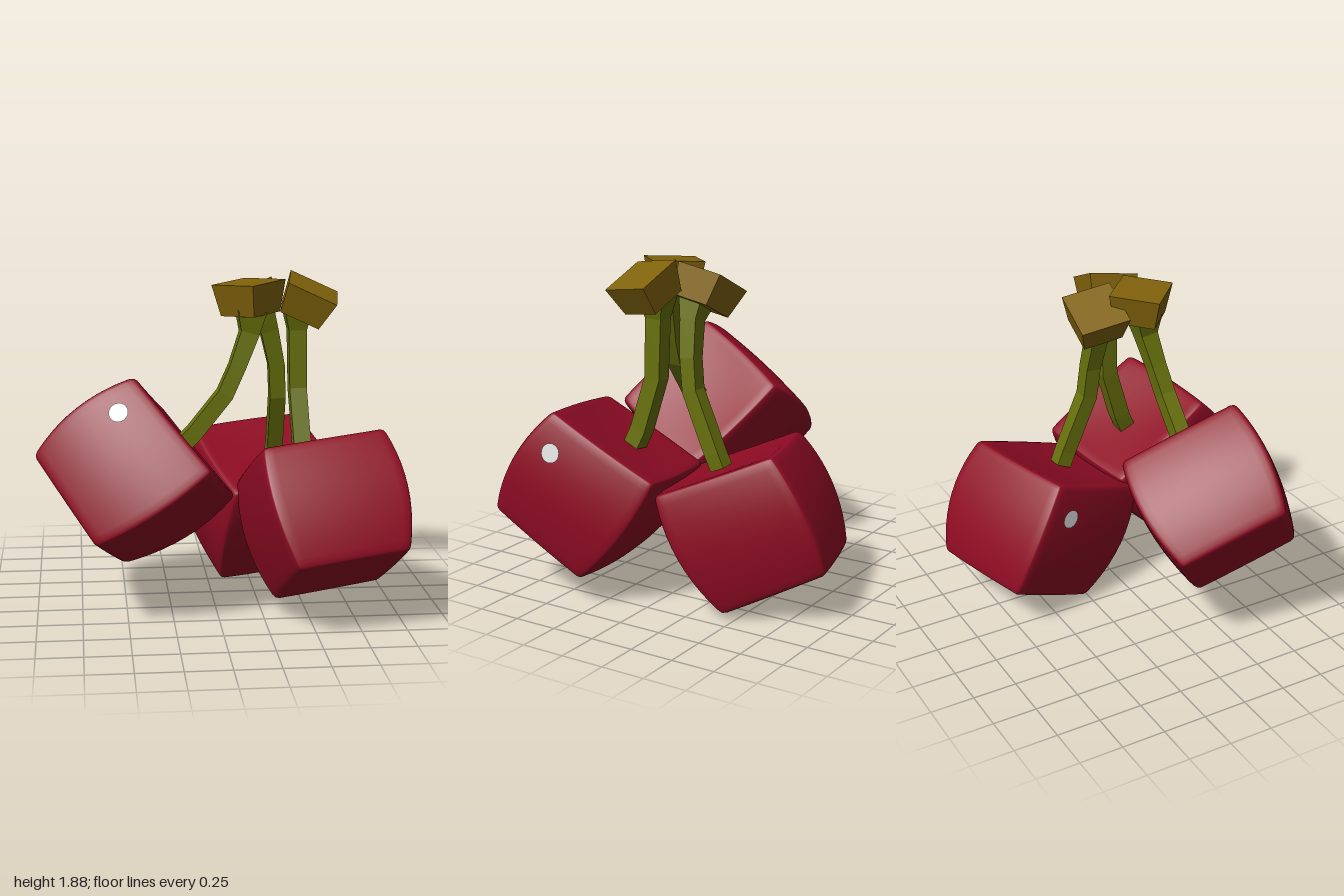
import * as THREE from 'three';
import { mergeVertices } from 'three/addons/utils/BufferGeometryUtils.js';

const mat = (name, color) => {
  const m = new THREE.MeshStandardMaterial({ color });
  m.name = name;
  return m;
};
const V = (a) => new THREE.Vector3(...a);

// Orthonormal basis from an exact "up" and an approximate "face" direction
function orient(object, up, face, position) {
  const y = V(up).normalize();
  const x = y.clone().cross(V(face)).normalize();
  const z = x.clone().cross(y);
  object.quaternion.setFromRotationMatrix(new THREE.Matrix4().makeBasis(x, y, z));
  object.position.set(...position);
  return object;
}

function flat(geometry) {
  const g = geometry.index ? geometry.toNonIndexed() : geometry;
  g.computeVertexNormals();
  return g;
}

// Puffy cube: barrel-shaped sides, narrower leaning base, dimpled top, soft edges
function fruitGeometry() {
  let g = new THREE.BoxGeometry(2, 2, 2, 16, 16, 16);
  g.deleteAttribute('uv');
  g.deleteAttribute('normal');
  g = mergeVertices(g);
  const p = g.attributes.position;
  const v = new THREE.Vector3();
  const core = new THREE.Vector3();
  const soft = 0.08;
  for (let i = 0; i < p.count; i++) {
    v.fromBufferAttribute(p, i);
    v.set(...v.toArray().map((n) => Math.sin((n * Math.PI) / 2)));
    core.copy(v).clampScalar(-1 + soft, 1 - soft);
    v.sub(core).normalize().multiplyScalar(soft).add(core);
    const a = 1 - v.x * v.x, b = 1 - v.y * v.y, c = 1 - v.z * v.z;
    const top = (1 + v.y) / 2;
    const r = 0.31 + 0.035 * top + 0.05 * b;
    p.setXYZ(i,
      v.x * r * (1 + 0.04 * c) + 0.035 * v.y,
      v.y * 0.355 - 0.025 * a * c * top - 0.02 * v.x * (1 - top),
      v.z * r * (1 + 0.04 * a));
  }
  g.computeVertexNormals();
  return g;
}

// Square-section stem swept through points; each point is [x, y, z, half width]
function stemGeometry(path) {
  const pts = path.map((q) => V(q.slice(0, 3)));
  const pos = [], index = [];
  pts.forEach((pt, i) => {
    const t = pts[Math.min(i + 1, pts.length - 1)].clone()
      .sub(pts[Math.max(i - 1, 0)]).normalize();
    const n = new THREE.Vector3(0, 0, 1).addScaledVector(t, -t.z).normalize();
    const s = n.clone().cross(t);
    const w = path[i][3];
    for (const [a, b] of [[1, 1], [1, -1], [-1, -1], [-1, 1]]) {
      pos.push(...pt.clone().addScaledVector(s, a * w).addScaledVector(n, b * w).toArray());
    }
    if (i > 0) {
      for (let k = 0; k < 4; k++) {
        const j = (k + 1) % 4, lo = 4 * (i - 1), hi = 4 * i;
        index.push(lo + k, lo + j, hi + j, lo + k, hi + j, hi + k);
      }
    }
  });
  const e = 4 * (pts.length - 1);
  index.push(0, 2, 1, 0, 3, 2, e, e + 1, e + 2, e, e + 2, e + 3);
  // Make the winding face outwards
  const a = V(pos.slice(0, 3)), b = V(pos.slice(3, 6)), c = V(pos.slice(15, 18));
  const outward = b.clone().sub(a).cross(c.sub(a)).dot(a.add(b).multiplyScalar(0.5).sub(pts[0])) > 0;
  if (!outward) index.reverse();
  const g = new THREE.BufferGeometry();
  g.setAttribute('position', new THREE.Float32BufferAttribute(pos, 3));
  g.setIndex(index);
  return flat(g);
}

// Tapered block, wider on top
function capGeometry() {
  const g = new THREE.BoxGeometry(0.29, 0.175, 0.29);
  const p = g.attributes.position;
  for (let i = 0; i < p.count; i++) {
    if (p.getY(i) < 0) p.setXYZ(i, p.getX(i) * 0.8, p.getY(i), p.getZ(i) * 0.8);
  }
  return flat(g);
}

export function createModel() {
  const model = new THREE.Group();
  model.name = 'cherries';
  const red = mat('cherryRed', 0x8e0b23);
  const green = mat('stemGreen', 0x67700b);
  const brown = mat('capBrown', 0x80620b);
  const white = mat('shineWhite', 0xe0e0e0);

  const fruitGeo = fruitGeometry();
  const capGeo = capGeometry();
  const shineGeo = new THREE.CircleGeometry(0.054, 20);

  const cherries = [
    {
      side: 'right', center: [-0.46, 0.81, 0.27], up: [0.78, 0.63, -0.066], face: [-0.31, 0.39, 0.87],
      stem: [[-0.18, 0.98, 0.27, 0.045], [-0.12, 1.04, 0.27, 0.045], [0.05, 1.25, 0.26, 0.045],
        [0.12, 1.4, 0.24, 0.045], [0.19, 1.58, 0.21, 0.052], [0.2, 1.7, 0.2, 0.08]],
      cap: [0.195, 1.77, 0.18], capUp: [-0.07, 1, 0], capFace: [1, 0, 1],
    },
    {
      side: 'left', center: [0.585, 0.605, 0.455], up: [-0.17, 0.875, -0.46], face: [0.98, 0.09, -0.17],
      stem: [[0.5, 0.86, 0.24, 0.048], [0.49, 0.95, 0.2, 0.048], [0.475, 1.25, 0.11, 0.048],
        [0.47, 1.58, 0.1, 0.05], [0.47, 1.69, 0.1, 0.075]],
      cap: [0.52, 1.742, 0.135], capUp: [0.39, 0.9, 0.2], capFace: [-0.05, -0.04, 0.28],
    },
    {
      side: 'back', center: [0.325, 0.485, -0.445], up: [0.063, 0.914, 0.38], face: [-0.96, -0.08, 0.28],
      stem: [[0.385, 0.77, -0.25, 0.045], [0.39, 0.85, -0.215, 0.045], [0.385, 1.18, -0.07, 0.045],
        [0.375, 1.36, -0.05, 0.045], [0.33, 1.56, -0.03, 0.05], [0.28, 1.67, -0.03, 0.075]],
      cap: [0.255, 1.71, -0.075], capUp: [-0.43, 0.88, -0.18], capFace: [-0.03, 0.04, 0.27],
    },
  ];

  for (const c of cherries) {
    // Fruit with its round shine spot
    const fruit = orient(new THREE.Group(), c.up, c.face, c.center);
    fruit.name = `${c.side}Cherry`;
    const body = new THREE.Mesh(fruitGeo, red);
    body.name = 'fruit';
    const shine = new THREE.Mesh(shineGeo, white);
    shine.name = 'shineSpot';
    shine.position.set(-0.19, 0.17, 0.393);
    shine.lookAt(-0.24, 0.23, 1.393);
    fruit.add(body, shine);

    const stem = new THREE.Mesh(stemGeometry(c.stem), green);
    stem.name = `${c.side}Stem`;

    const cap = orient(new THREE.Mesh(capGeo, brown), c.capUp, c.capFace, c.cap);
    cap.name = `${c.side}StemCap`;
    model.add(fruit, stem, cap);
  }
  return model;
}
